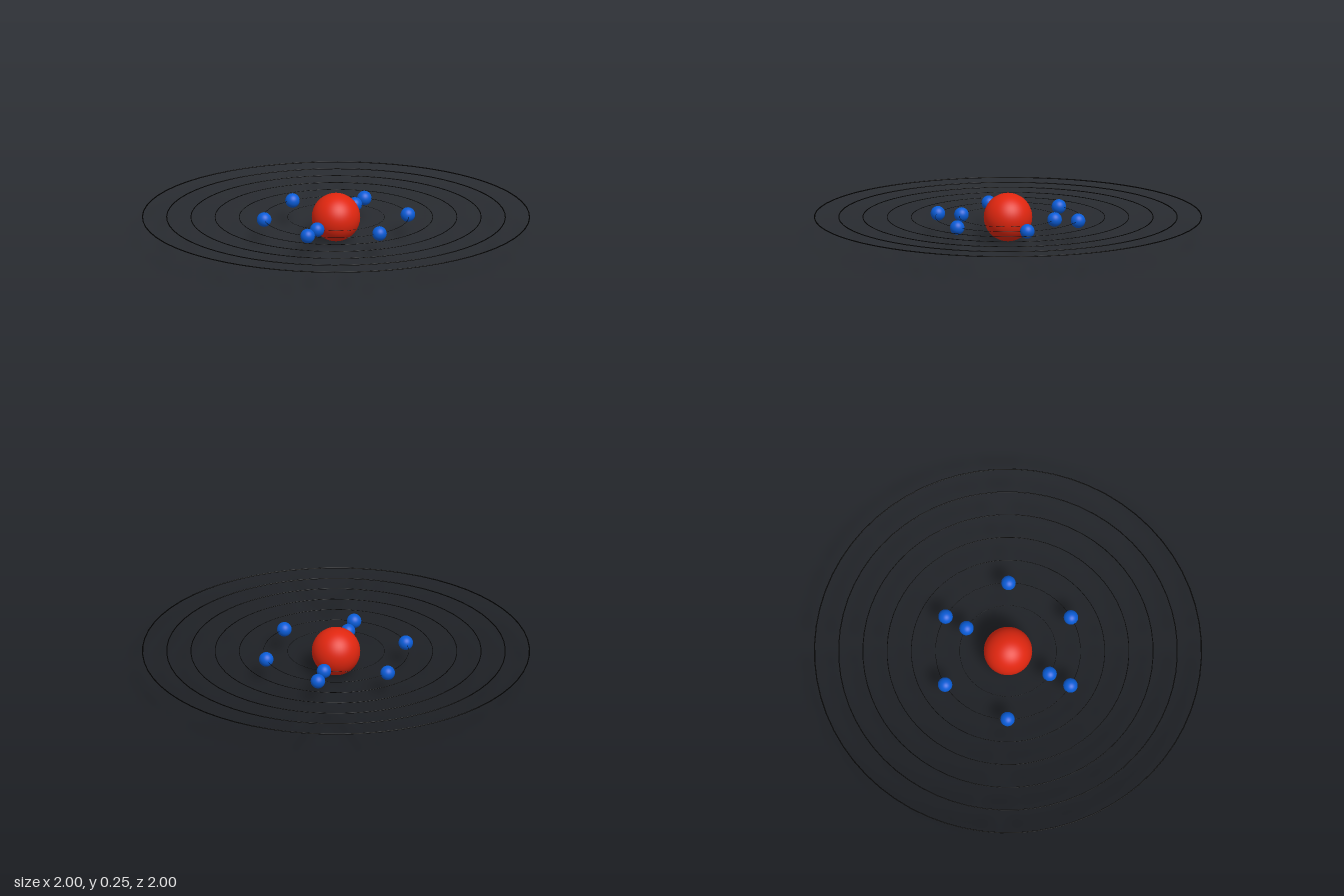
import * as THREE from 'three';

const CENTER_Y = 0.125;

export function createModel() {
  const model = new THREE.Group();
  model.name = 'atom';

  const red = new THREE.MeshStandardMaterial({ color: 0xe0260f });
  const blue = new THREE.MeshStandardMaterial({ color: 0x0a5cd6 });
  const black = new THREE.MeshStandardMaterial({ color: 0x000000 });

  const add = (name, geometry, material, x = 0, z = 0) => {
    const mesh = new THREE.Mesh(geometry, material);
    mesh.name = name;
    mesh.position.set(x, CENTER_Y, z);
    model.add(mesh);
    return mesh;
  };

  // Central nucleus, resting on the ground
  add('nucleus', new THREE.SphereGeometry(0.125, 48, 32), red);

  // Seven flat, evenly spaced orbits, each slightly thicker than the last
  for (let i = 2; i <= 8; i++) {
    const outer = i / 8;
    const tube = 0.003 * outer;
    const ring = new THREE.TorusGeometry(outer - tube, tube, 8, 64).rotateX(Math.PI / 2);
    add(`orbit${i - 1}`, ring, black);
  }

  // Electrons: two on the first orbit, six on the second
  const electron = new THREE.SphereGeometry(0.0375, 32, 20);
  for (const [shell, count, radius] of [['inner', 2, 0.248], ['outer', 6, 0.373]]) {
    for (let i = 0; i < count; i++) {
      const a = (i / count) * Math.PI * 2;
      add(`${shell}Electron${i + 1}`, electron, blue, radius * Math.sin(a), radius * Math.cos(a));
    }
  }

  return model;
}
